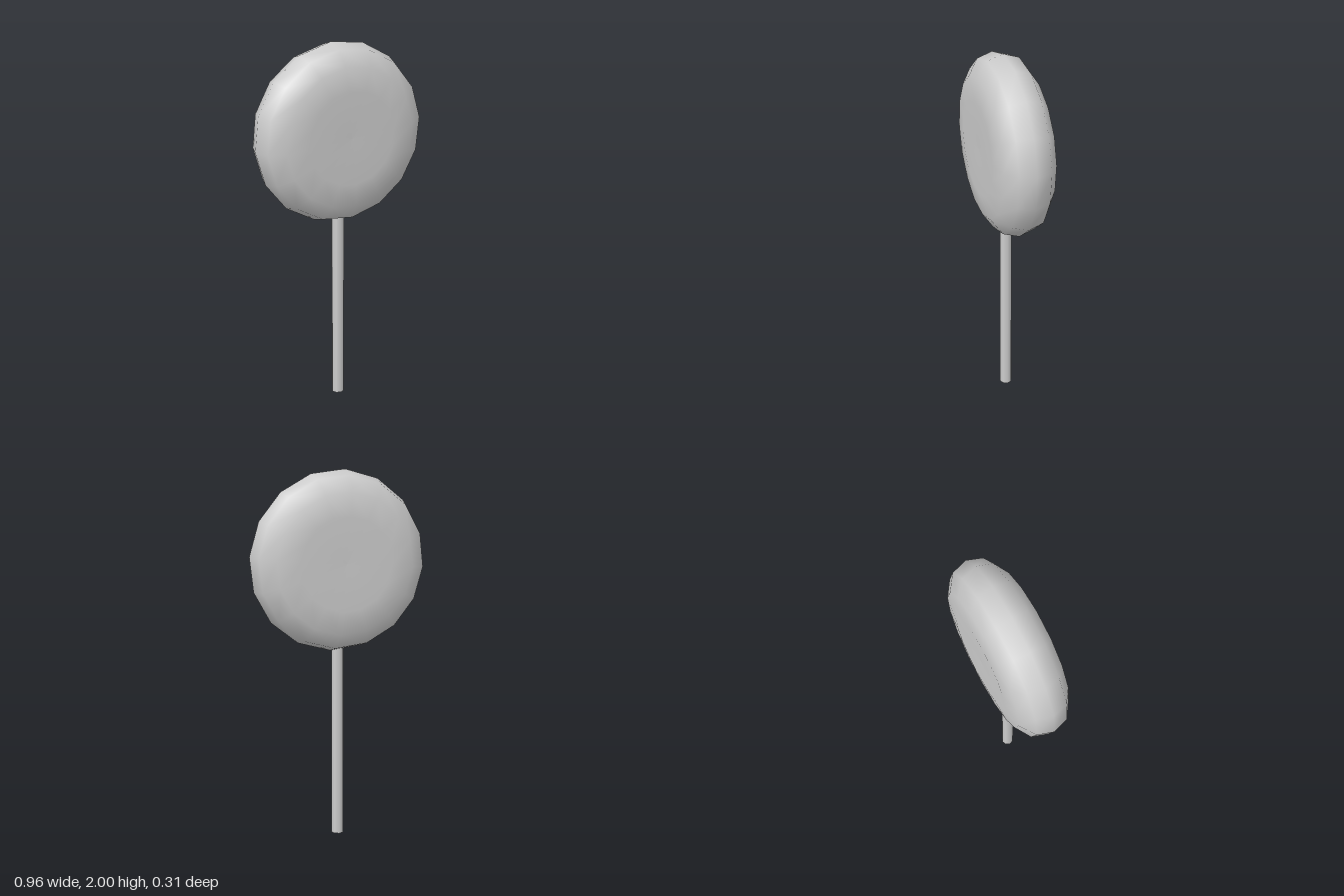
import * as THREE from 'three';

export function createModel() {
  const group = new THREE.Group();
  group.name = 'lollipop';
  const grey = new THREE.MeshStandardMaterial({ color: 0xcccccc });
  grey.name = 'light grey';

  // Candy: rounded disc, 16 sides, slightly dished faces, turned to face +z
  const half = [[0, 0.149], [0.25, 0.155], [0.375, 0.14], [0.457, 0.085]];
  const profile = [
    ...half.map(([r, z]) => new THREE.Vector2(r, -z)),
    new THREE.Vector2(0.484, 0),
    ...half.map(([r, z]) => new THREE.Vector2(r, z)).reverse(),
  ];
  const candyGeometry = new THREE.LatheGeometry(profile, 16);
  candyGeometry.rotateX(Math.PI / 2);
  candyGeometry.rotateZ(THREE.MathUtils.degToRad(5));
  const candy = new THREE.Mesh(candyGeometry, grey);
  candy.name = 'candy';
  candy.position.y = 1.518;
  group.add(candy);

  // Stick: thin round rod that runs a little way into the candy
  const stickHeight = 1.1;
  const stick = new THREE.Mesh(new THREE.CylinderGeometry(0.034, 0.034, stickHeight, 8), grey);
  stick.name = 'stick';
  stick.position.y = stickHeight / 2;
  group.add(stick);

  return group;
}
